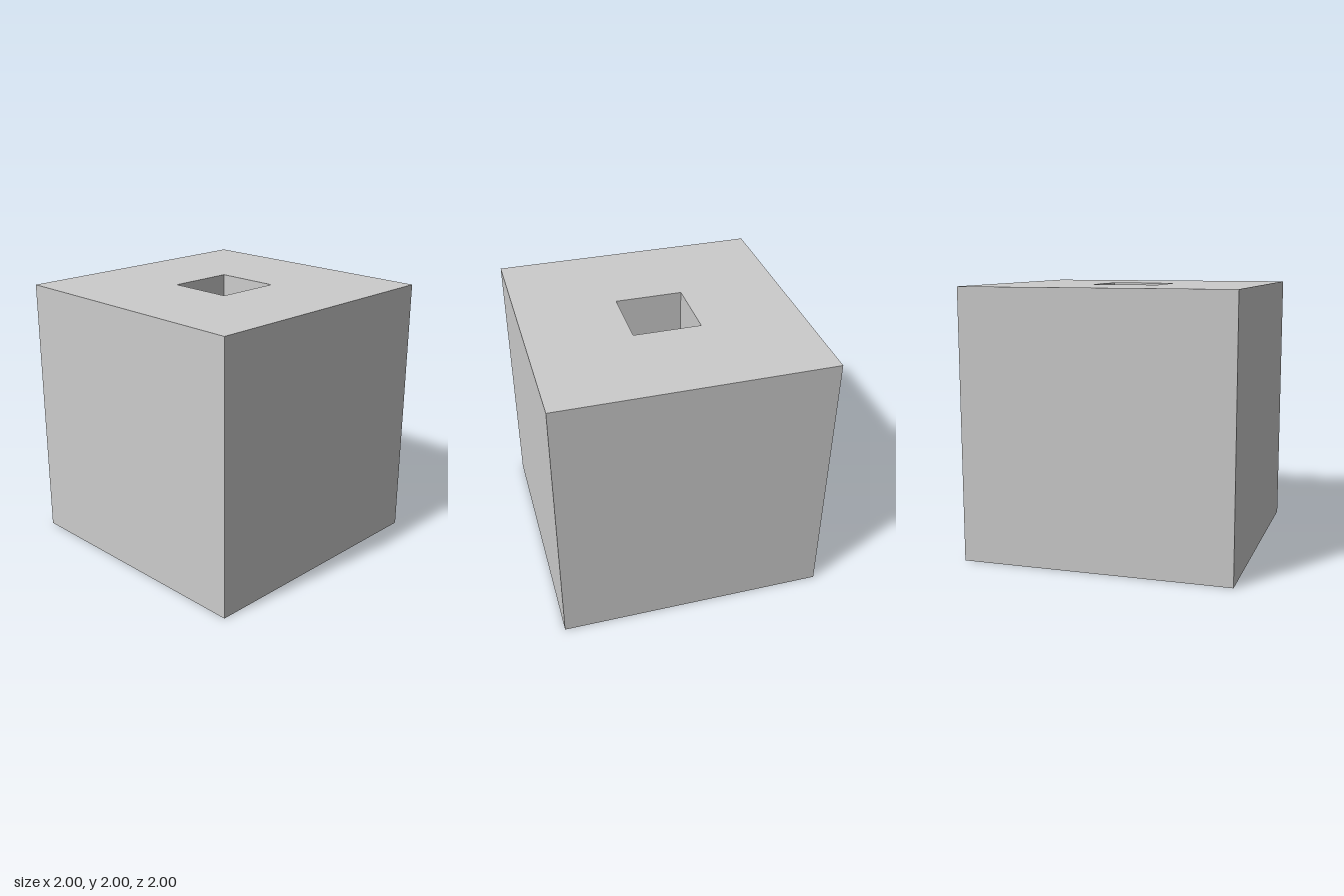
import * as THREE from 'three';

const SIZE = 2;      // outer cube
const HOLE = 0.5;    // square opening
const DEPTH = 1;     // shaft depth

const grey = new THREE.MeshStandardMaterial({ color: 0xcccccc });
const dark = new THREE.MeshStandardMaterial({ color: 0x0f0f0f });

function add(group, name, geometry, material = grey) {
  const mesh = new THREE.Mesh(geometry, material);
  mesh.name = name;
  group.add(mesh);
  return mesh;
}

export function createModel() {
  const group = new THREE.Group();
  group.name = 'hollowedCube';

  // Four outer sides, and four shaft walls facing inward
  ['front', 'left', 'back', 'right'].forEach((side, i) => {
    const angle = i * Math.PI / 2;
    add(group, side + 'Side',
      new THREE.PlaneGeometry(SIZE, SIZE).translate(0, SIZE / 2, SIZE / 2).rotateY(angle));
    add(group, side + 'FacingShaftWall',
      new THREE.PlaneGeometry(HOLE, DEPTH).translate(0, SIZE - DEPTH / 2, -HOLE / 2).rotateY(angle));
  });

  // Top face with the square opening
  const square = (s) => [[-s, -s], [s, -s], [s, s], [-s, s]].map(([x, y]) => new THREE.Vector2(x, y));
  const top = new THREE.Shape(square(SIZE / 2));
  top.holes.push(new THREE.Path(square(HOLE / 2).reverse()));
  add(group, 'top', new THREE.ShapeGeometry(top).rotateX(-Math.PI / 2).translate(0, SIZE, 0));

  // Underside
  add(group, 'bottom', new THREE.PlaneGeometry(SIZE, SIZE).rotateX(Math.PI / 2));

  // Dark floor of the shaft
  add(group, 'shaftFloor',
    new THREE.PlaneGeometry(HOLE, HOLE).rotateX(-Math.PI / 2).translate(0, SIZE - DEPTH, 0), dark);

  return group;
}
